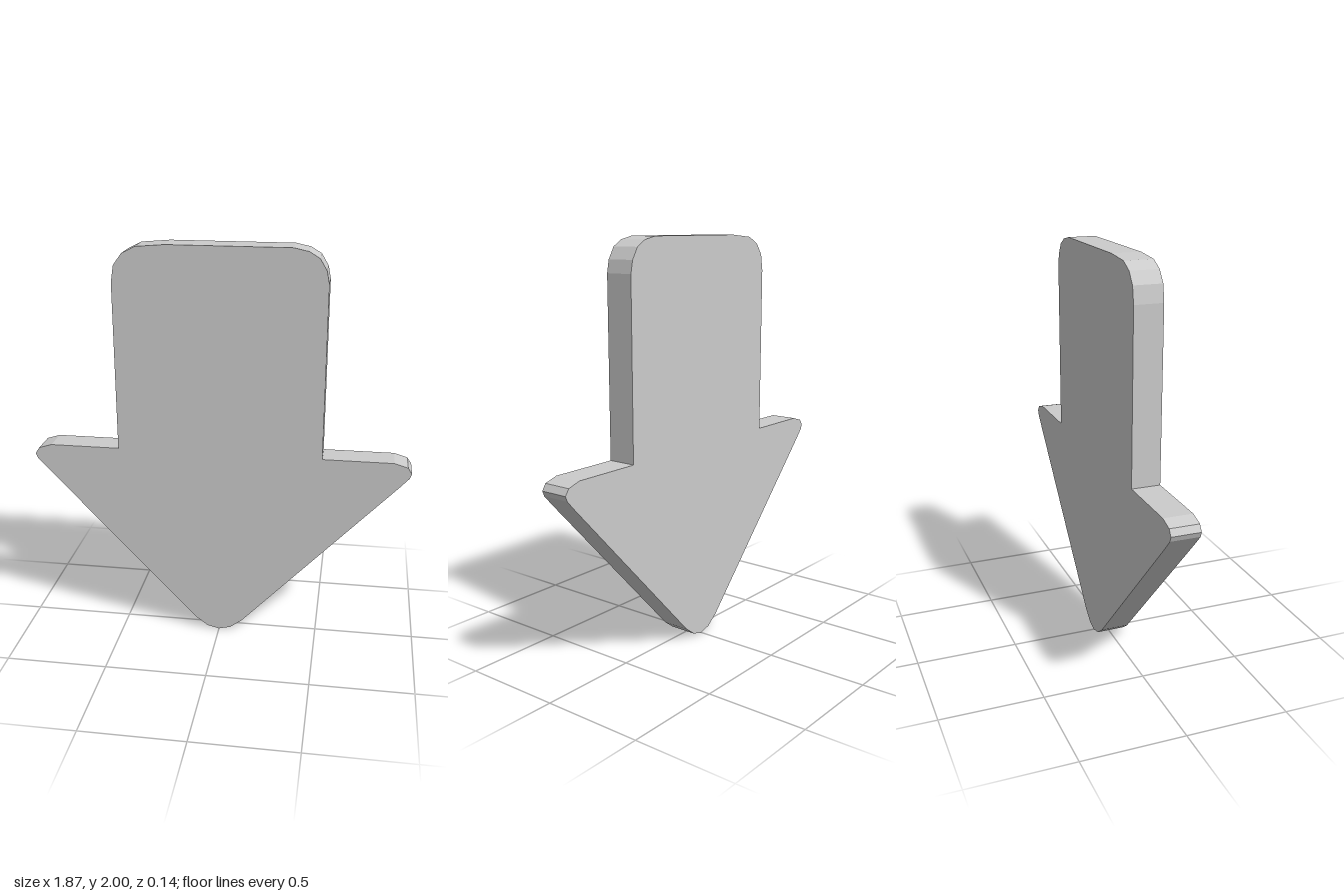
import * as THREE from 'three';

const DEPTH = 0.14;

// Right half of the arrowhead, from the point up to the inner shoulder
const headSide = [
  [0.06, 0.015], [0.12, 0.06], [0.88, 0.865], [0.925, 0.915],
  [0.935, 0.94], [0.915, 0.97], [0.85, 0.99], [0.505, 0.99],
];
// Rounded top corners of the shaft
const rightCorner = [[0.505, 1.84], [0.493, 1.9], [0.46, 1.955], [0.41, 1.985], [0.34, 2]];
const leftCorner = [[-0.25, 2], [-0.39, 1.988], [-0.455, 1.955], [-0.495, 1.9], [-0.508, 1.82]];

export function createModel() {
  const group = new THREE.Group();
  const mirrored = headSide.map(([x, y]) => [-x, y]).reverse();
  const outline = [[0, 0], ...headSide, ...rightCorner, ...leftCorner, ...mirrored];

  // Flat downward arrow, extruded to a slab
  const shape = new THREE.Shape(outline.map(([x, y]) => new THREE.Vector2(x, y)));
  const geometry = new THREE.ExtrudeGeometry(shape, { depth: DEPTH, bevelEnabled: false });
  geometry.translate(0, 0, -DEPTH / 2);

  const arrow = new THREE.Mesh(
    geometry,
    new THREE.MeshStandardMaterial({ color: 0xcccccc, flatShading: true }),
  );
  arrow.name = 'downArrow';
  group.add(arrow);
  return group;
}
